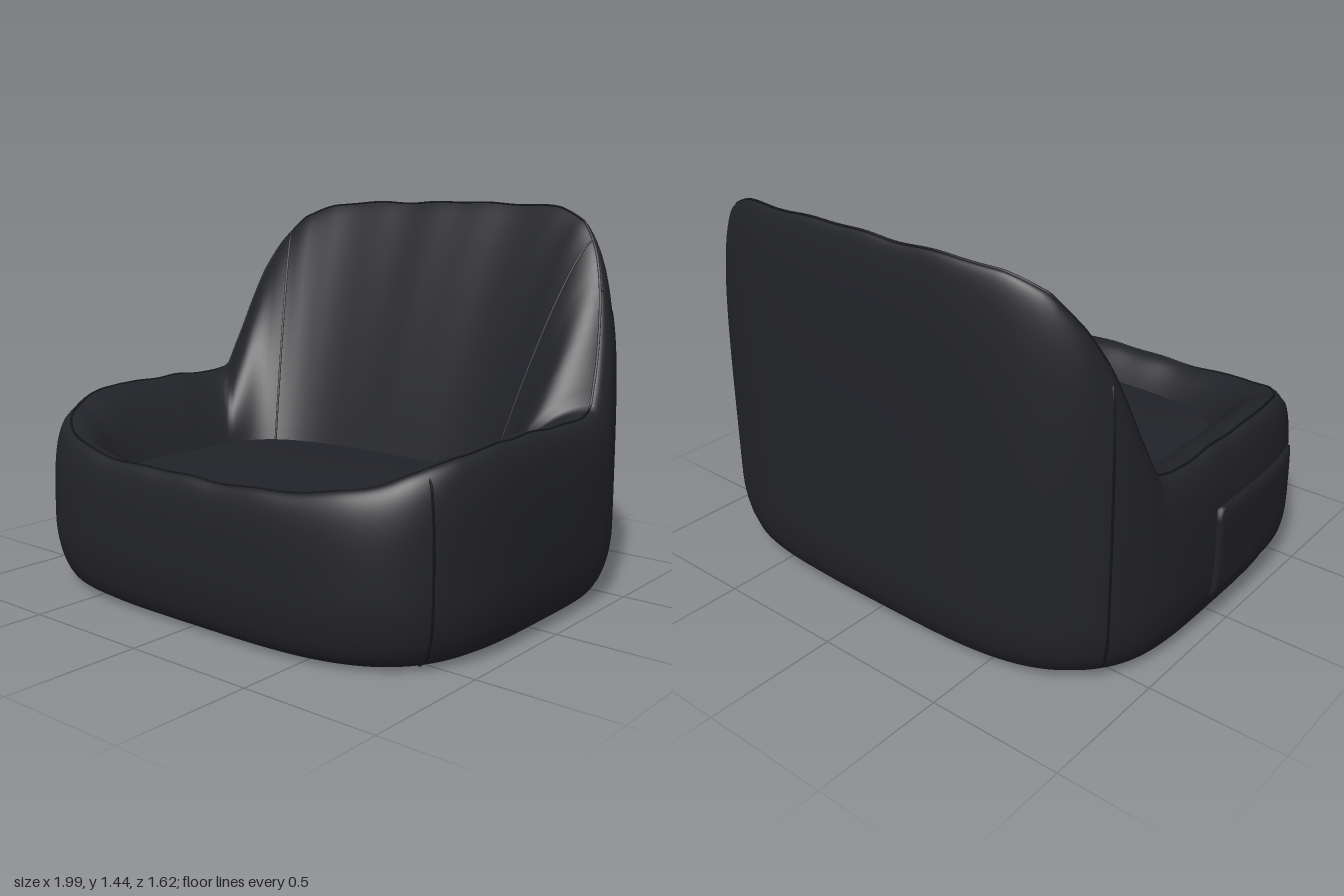
import * as THREE from 'three';

const V = (x, y, z) => new THREE.Vector3(x, y, z);
const lerp = THREE.MathUtils.lerp;

// rounded-rectangle outline, uniform in polar angle (t = 0 at +x, PI/2 at +z)
function outline(t, a, b, zc = 0, n = 3.7) {
  const c = Math.cos(t), s = Math.sin(t);
  const r = Math.pow(Math.abs(c) ** n + Math.abs(s) ** n, -1 / n);
  return V(a * c * r, 0, zc + b * s * r);
}

// height of the rim along z: backrest, arms, front lip
const RIM = [[-0.76, 1.43], [-0.72, 1.41], [-0.67, 1.36], [-0.61, 1.25], [-0.55, 1.12], [-0.45, 0.87],
  [-0.37, 0.7], [-0.3, 0.685], [0.25, 0.69], [0.45, 0.665], [0.6, 0.62], [0.7, 0.57], [0.76, 0.53]];
function rimHeight(z) {
  if (z <= RIM[0][0]) return RIM[0][1];
  for (let i = 1; i < RIM.length; i++) {
    const [z0, y0] = RIM[i - 1], [z1, y1] = RIM[i];
    if (z <= z1) return lerp(y0, y1, (z - z0) / (z1 - z0));
  }
  return RIM[RIM.length - 1][1];
}

// crest of the rim, with slight fabric wrinkles
function crest(t) {
  const p = outline(t, 0.92, 0.755);
  p.y = rimHeight(p.z) + 0.005 * Math.sin(17 * t) * Math.sin(5 * t + 1);
  return p;
}

// outer wall; v = 0 at the floor, 1 at the crest
function wall(t, v) {
  const c = crest(t), y = v * c.y;
  const k = Math.max(0, 1 - y / 0.25);
  const p = outline(t, 0.987, 0.81).multiplyScalar(1 - 0.1 * (1 - Math.sqrt(1 - k * k)));
  p.lerp(c, 1 - Math.sqrt(Math.max(0, 1 - v ** 6)));
  p.y = y;
  return p;
}

// inner slope; u = 0 at the crest, 1 at the seat
const SEAT = 0.42;
function inner(t, u) {
  const c = crest(t), f = outline(t, 0.65, 0.5, 0.14, 4);
  const power = lerp(2, 1.3, THREE.MathUtils.smoothstep(c.y, 0.7, 1.2));
  const p = c.clone().lerp(f, u);
  p.y = SEAT + (c.y - SEAT) * (1 - u ** power);
  return p;
}

// slightly domed seat; w = 0 at its edge, 1 in the middle
function seat(t, w) {
  const p = outline(t, 0.65, 0.5, 0.14, 4).lerp(V(0, 0, 0.14), w);
  p.y = SEAT + 0.03 * Math.sin(w * Math.PI / 2);
  return p;
}

// skin a list of rows of points
function skin(rows, closed) {
  const n = rows[0].length, index = [];
  for (let i = 0; i < rows.length - 1; i++) {
    for (let j = 0; j < (closed ? n : n - 1); j++) {
      const k = (j + 1) % n;
      const a = i * n + j, b = a + n, c = i * n + k, d = c + n;
      index.push(a, b, c, b, d, c);
    }
  }
  const g = new THREE.BufferGeometry().setFromPoints(rows.flat());
  g.setIndex(index);
  g.computeVertexNormals();
  return g;
}

export function createModel() {
  const group = new THREE.Group();
  const fabric = new THREE.MeshStandardMaterial({ color: 0x222328, side: THREE.DoubleSide });
  const piping = new THREE.MeshStandardMaterial({ color: 0x141518 });
  const add = (name, geometry, material = fabric) => {
    const m = new THREE.Mesh(geometry, material);
    m.name = name;
    group.add(m);
  };
  const N = 240;
  const ring = fn => Array.from({ length: N }, (_, j) => fn(j / N * Math.PI * 2));
  const rings = (count, fn) => Array.from({ length: count + 1 }, (_, i) => ring(t => fn(t, i / count)));

  // one continuous stuffed cover: wall, inner slopes and seat
  add('outerWall', skin(rings(48, (t, s) => wall(t, 1 - (1 - s) ** 1.6 * (1 - 0.3 * s))), true));
  add('innerSlopes', skin(rings(24, (t, s) => inner(t, s)), true));
  add('seatCushion', skin(rings(8, (t, s) => seat(t, s)), true));
  add('base', skin(rings(4, (t, s) => wall(t, 0).multiplyScalar(s)), true));

  // raised seams: around the rim, down the four corners and down the backrest
  const seam = (name, pts, closed = false) =>
    add(name, new THREE.TubeGeometry(new THREE.CatmullRomCurve3(pts, closed), pts.length * 2, 0.005, 5, closed), piping);
  seam('rimSeam', ring(crest), true);
  const steps = Array.from({ length: 17 }, (_, i) => i / 16);
  for (const side of [1, -1]) {
    const angle = a => side > 0 ? a : Math.PI - a;
    seam('frontCornerSeam', steps.map(s => wall(angle(0.67), s)));
    seam('backCornerSeam', steps.map(s => wall(angle(-0.68), s)));
    seam('backrestSeam', steps.map(s => inner(angle(-0.8), s)));
  }

  // side pocket hugging the right wall, its border tucked in
  const rows = [];
  for (let i = 0; i <= 10; i++) {
    const row = [];
    for (let j = 0; j <= 20; j++) {
      const border = i === 0 || i === 10 || j === 0 || j === 20;
      const t = Math.PI - lerp(-0.12, 0.55, THREE.MathUtils.clamp((j - 1) / 18, 0, 1));
      const y = lerp(0.13, 0.48, THREE.MathUtils.clamp((i - 1) / 8, 0, 1));
      const p = wall(t, y / crest(t).y);
      p.x = border ? p.x + 0.01 : Math.max(-1, p.x - 0.015);
      row.push(p);
    }
    rows.push(row.reverse());
  }
  add('sidePocket', skin(rows, false));
  return group;
}
